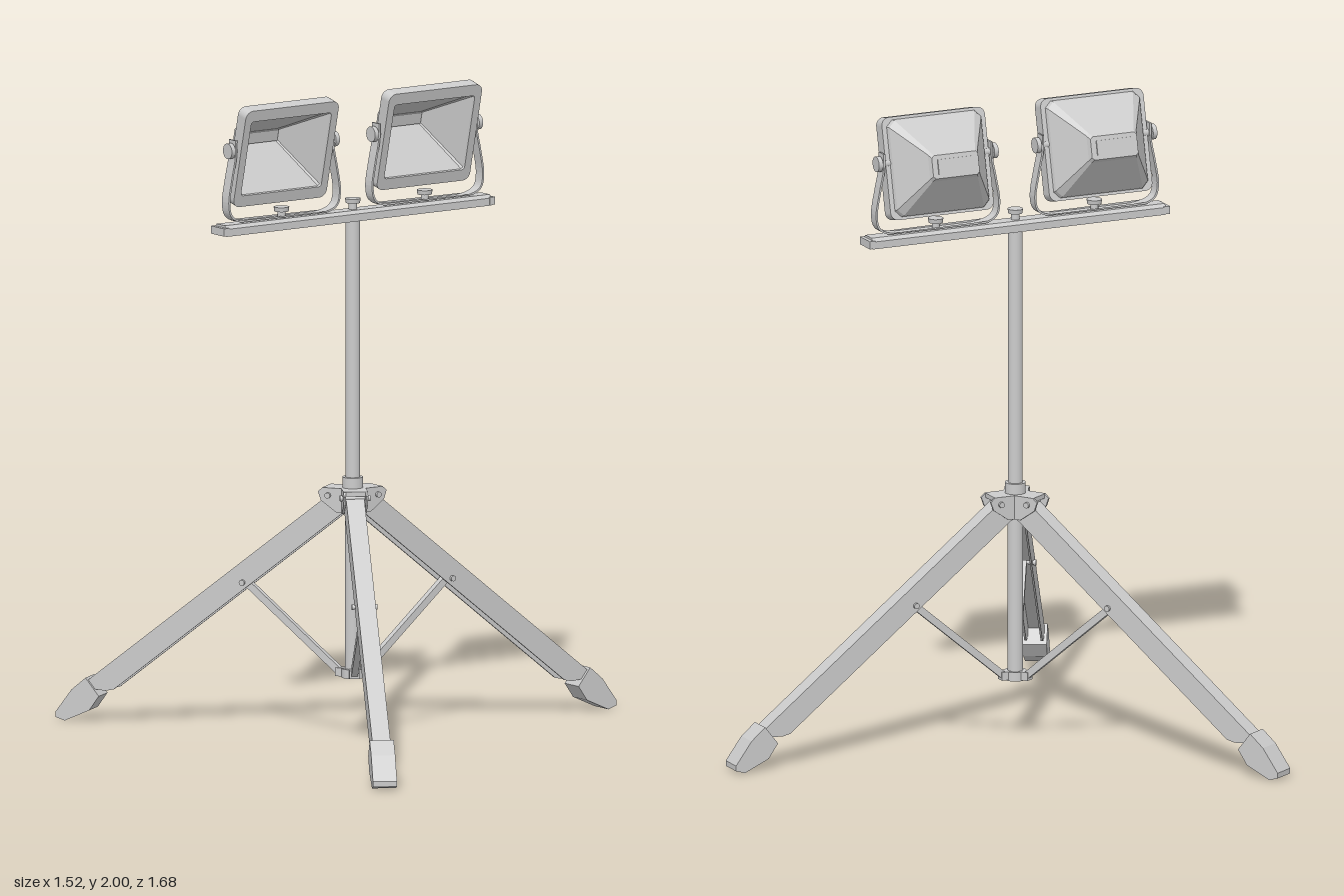
import * as THREE from 'three';

const grey = new THREE.MeshStandardMaterial({ color: 0xcccccc });
const thin = new THREE.MeshStandardMaterial({ color: 0xcccccc, side: THREE.DoubleSide });
const POLE_X = -0.203, POLE_Z = -0.019;

function add(parent, name, geometry, x = 0, y = 0, z = 0, material = grey) {
  const mesh = new THREE.Mesh(geometry, material);
  mesh.name = name;
  mesh.position.set(x, y, z);
  parent.add(mesh);
  return mesh;
}
const box = (w, h, d) => new THREE.BoxGeometry(w, h, d);
const cyl = (r, h, r2 = r, n = 24) => new THREE.CylinderGeometry(r, r2, h, n);
const outline = (pts) => new THREE.Shape(pts.map(([x, y]) => new THREE.Vector2(x, y)));

// Extrusion centred on z = 0
function slab(shape, depth) {
  const g = new THREE.ExtrudeGeometry(shape, { depth, bevelEnabled: false, curveSegments: 6 });
  return g.translate(0, 0, -depth / 2);
}

function roundedRect(w, h, r, Type = THREE.Shape) {
  const s = new Type();
  s.absarc(w - r, h - r, r, 0, Math.PI / 2);
  s.absarc(r - w, h - r, r, Math.PI / 2, Math.PI);
  s.absarc(r - w, r - h, r, Math.PI, Math.PI * 1.5);
  s.absarc(w - r, r - h, r, Math.PI * 1.5, Math.PI * 2);
  s.closePath();
  return s;
}

// Faceted skin through chamfered rectangles [halfWidth, halfHeight, centreY, z, chamfer], last one capped
function loft(rings) {
  const loops = rings.map(([w, h, cy, z, c]) => [
    [w, h - c], [w - c, h], [c - w, h], [-w, h - c],
    [-w, c - h], [c - w, -h], [w - c, -h], [w, c - h],
  ].map(([x, y]) => [x, y + cy, z]));
  const pos = [];
  for (let i = 0; i + 1 < loops.length; i++) {
    const a = loops[i], b = loops[i + 1];
    for (let j = 0; j < 8; j++) {
      const k = (j + 1) % 8;
      pos.push(...a[j], ...b[j], ...b[k], ...a[j], ...b[k], ...a[k]);
    }
  }
  const end = loops[loops.length - 1];
  for (let j = 1; j < 7; j++) pos.push(...end[0], ...end[j + 1], ...end[j]);
  const g = new THREE.BufferGeometry();
  g.setAttribute('position', new THREE.Float32BufferAttribute(pos, 3));
  g.computeVertexNormals();
  return g;
}

// Bolt lying across a leg
function crossBolt(parent, name, x, y, length) {
  add(parent, name, cyl(0.006, length, 0.006, 10).rotateX(Math.PI / 2), x, y, 0);
  for (const s of [-1, 1]) {
    add(parent, name + 'Head', cyl(0.009, 0.008, 0.009, 12).rotateX(Math.PI / 2), x, y, s * length / 2);
  }
}

// One leg with hub bracket, foot and strut, running along +x from the pole
function makeLeg(angle) {
  const leg = new THREE.Group();
  leg.name = 'leg';
  leg.rotation.y = THREE.MathUtils.degToRad(angle);

  const channel = new THREE.Group();
  channel.name = 'legChannel';
  channel.position.set(0.02, 0.7, 0);
  channel.rotation.z = THREE.MathUtils.degToRad(-38.3);
  leg.add(channel);
  const side = outline([[0, 0], [0.96, 0], [0.985, 0.012], [1.02, 0.045], [1.02, 0.07], [0, 0.07]]);
  for (const s of [-1, 1]) add(channel, 'legSide', slab(side, 0.006), 0, 0, s * 0.025);
  add(channel, 'legTop', box(1.02, 0.006, 0.056), 0.51, 0.068, 0);
  const foot = outline([[1.01, 0.01], [1.063, -0.006], [1.148, 0.015], [1.166, 0.041],
    [1.156, 0.054], [1.07, 0.078], [1.01, 0.08]]);
  add(channel, 'foot', slab(foot, 0.074));

  const cheek = outline([[0, 0.775], [0.085, 0.775], [0.1, 0.762], [0.09, 0.735], [0.04, 0.7], [0, 0.7]]);
  for (const s of [-1, 1]) add(leg, 'hubCheek', slab(cheek, 0.007), 0, 0, s * 0.034);
  add(leg, 'hubPlate', box(0.087, 0.014, 0.074), 0.043, 0.768, 0);
  crossBolt(leg, 'hingeBolt', 0.066, 0.752, 0.085);
  crossBolt(leg, 'strutBolt', 0.35, 0.463, 0.07);

  const dx = 0.305, dy = 0.258;
  const strut = add(leg, 'strut', box(Math.hypot(dx, dy), 0.022, 0.02), 0.1975, 0.334, 0);
  strut.rotation.z = Math.atan2(dy, dx);
  add(leg, 'collarLug', box(0.036, 0.026, 0.03), 0.034, 0.202, 0);
  return leg;
}

// U-shaped strap that carries a lamp
function strapGeometry() {
  const half = [[0.178, 1.895], [0.18, 1.84], [0.192, 1.78], [0.204, 1.7], [0.194, 1.662], [0.15, 1.643]];
  const pts = [...half, ...half.map(([x, y]) => [-x, y]).reverse()].map(([x, y]) => new THREE.Vector3(x, y, 0));
  const curve = new THREE.CatmullRomCurve3(pts, false, 'centripetal');
  const outer = [], inner = [];
  for (let i = 0; i <= 60; i++) {
    const p = curve.getPoint(i / 60), t = curve.getTangent(i / 60);
    outer.push([p.x, p.y]);
    inner.unshift([p.x + t.y * -0.006 * -1, p.y - t.x * 0.006]);
  }
  // keep the second edge on the inside of the U
  return slab(outline([...outer, ...inner.map(([x, y], i) => {
    const o = outer[60 - i];
    return [2 * o[0] - x, 2 * o[1] - y];
  }).map(([x, y]) => [x, Math.max(y, 1.64)])]), 0.036);
}

function makeLamp(x) {
  const lamp = new THREE.Group();
  lamp.name = 'lamp';
  lamp.position.set(x, 0, POLE_Z);
  add(lamp, 'bracket', strapGeometry(), 0, 0, 0, thin);
  add(lamp, 'bracketStud', cyl(0.012, 0.03, 0.012, 16), 0, 1.648, 0);
  add(lamp, 'bracketKnob', cyl(0.024, 0.014, 0.022, 20), 0, 1.664, 0);

  // Tilted head
  const head = new THREE.Group();
  head.name = 'lampHead';
  head.position.y = 1.862;
  head.rotation.x = THREE.MathUtils.degToRad(13.5);
  lamp.add(head);
  const rim = roundedRect(0.174, 0.158, 0.025);
  rim.holes.push(roundedRect(0.15, 0.122, 0.01, THREE.Path));
  add(head, 'frame', slab(rim, 0.042), 0, -0.019, 0.01);
  add(head, 'reflector', loft([[0.15, 0.122, -0.019, 0.022, 0.006], [0.07, 0.02, -0.019, -0.118, 0.004]]), 0, 0, 0, thin);
  add(head, 'lightPanel', box(0.136, 0.036, 0.004), 0, -0.019, -0.115);
  add(head, 'shell', loft([[0.16, 0.15, -0.019, -0.008, 0.02], [0.155, 0.146, -0.019, -0.022, 0.02],
    [0.084, 0.046, -0.022, -0.128, 0.008], [0.078, 0.036, -0.024, -0.142, 0.008]]), 0, 0, 0, thin);
  add(head, 'rearCover', box(0.12, 0.045, 0.006), 0, -0.024, -0.143);

  // Pivots
  for (const s of [-1, 1]) {
    add(head, 'pivotBoss', cyl(0.014, 0.04, 0.014, 16).rotateZ(Math.PI / 2), s * 0.17, 0, 0);
    add(head, 'pivotKnob', cyl(0.024, 0.014, 0.024, 20).rotateZ(Math.PI / 2), s * 0.195, 0, 0);
  }
  return lamp;
}

export function createModel() {
  const model = new THREE.Group();
  model.name = 'workLightStand';

  // Mast and tripod
  const stand = new THREE.Group();
  stand.name = 'tripod';
  stand.position.set(POLE_X, 0, POLE_Z);
  model.add(stand);
  add(stand, 'lowerPole', cyl(0.024, 0.6), 0, 0.485, 0);
  add(stand, 'upperPole', cyl(0.0225, 0.85), 0, 1.195, 0);
  add(stand, 'hubCollar', cyl(0.032, 0.07), 0, 0.773, 0);
  add(stand, 'hubCore', cyl(0.046, 0.036, 0.046, 6), 0, 0.755, 0);
  add(stand, 'strutCollar', cyl(0.034, 0.028), 0, 0.2, 0);
  for (const angle of [0, 123.4, -119.4]) stand.add(makeLeg(angle));

  // Crossbar: channel open underneath
  const section = outline([[-0.033, 1.604], [-0.033, 1.627], [-0.022, 1.637], [0.022, 1.637],
    [0.033, 1.627], [0.033, 1.604], [0.027, 1.604], [0.027, 1.624], [0.02, 1.63],
    [-0.02, 1.63], [-0.027, 1.624], [-0.027, 1.604]]);
  add(model, 'crossbar', slab(section, 0.99).rotateY(Math.PI / 2), -0.202, 0, POLE_Z);
  for (const s of [-1, 1]) add(model, 'barEnd', box(0.02, 0.024, 0.07), -0.202 + s * 0.497, 1.618, POLE_Z);
  add(stand, 'mastStud', cyl(0.013, 0.03, 0.013, 16), 0, 1.645, 0);
  add(stand, 'mastKnob', cyl(0.024, 0.014, 0.022, 20), 0, 1.664, 0);

  for (const x of [-0.47, 0.066]) model.add(makeLamp(x));
  return model;
}
